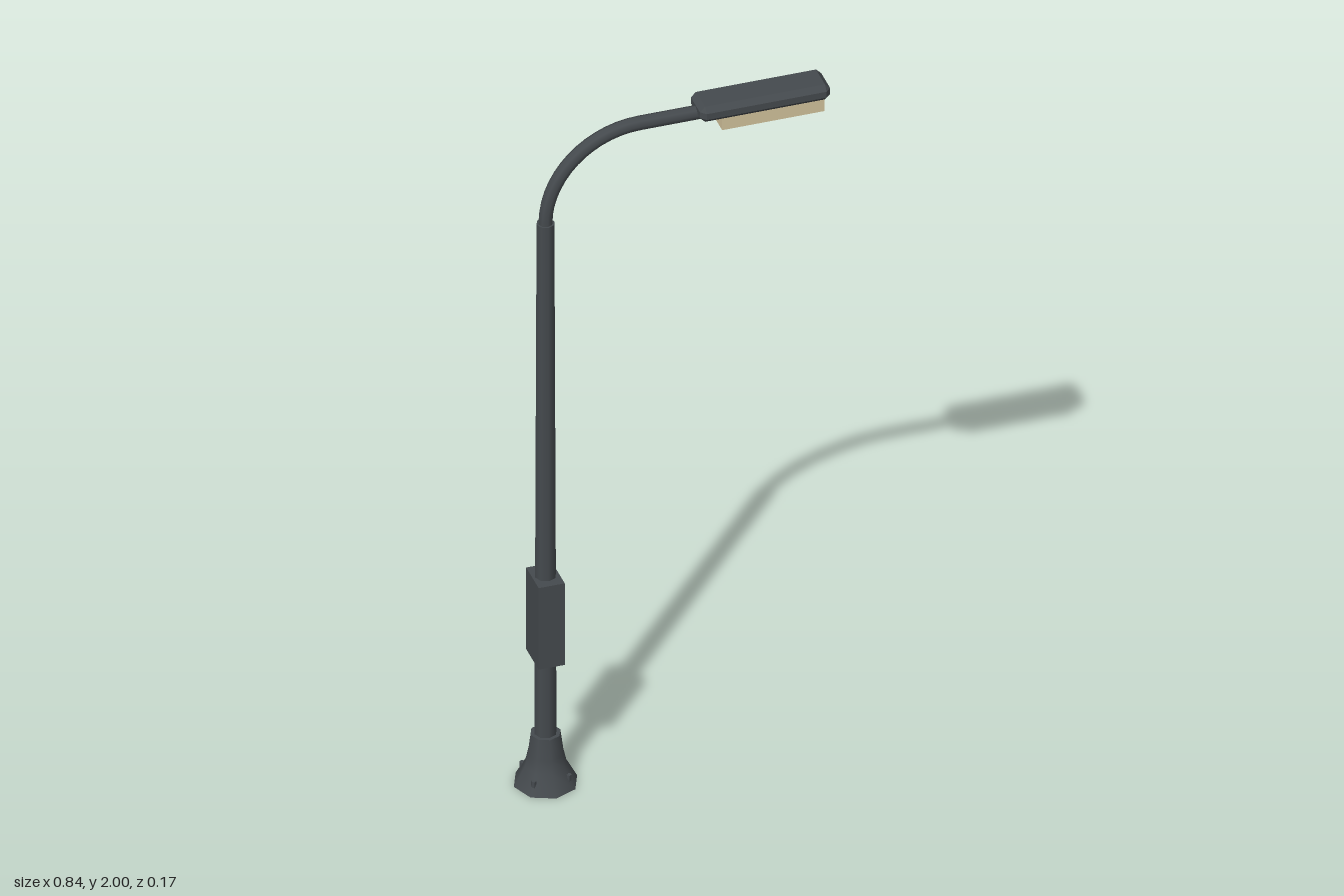
import * as THREE from 'three';
import { ConvexGeometry } from 'three/addons/geometries/ConvexGeometry.js';

const POLE_X = -0.335;
const SIDES = 8;

// Box with every edge cut at 45 degrees
function chamferedBox(w, h, d, c) {
  const points = [];
  const half = [w / 2, h / 2, d / 2];
  for (const sx of [-1, 1]) for (const sy of [-1, 1]) for (const sz of [-1, 1]) {
    for (let full = 0; full < 3; full++) {
      const p = half.map((v, i) => (i === full ? v : v - c));
      points.push(new THREE.Vector3(p[0] * sx, p[1] * sy, p[2] * sz));
    }
  }
  return new ConvexGeometry(points);
}

export function createModel() {
  const group = new THREE.Group();
  const metal = new THREE.MeshStandardMaterial({ color: 0x454a4e });
  const metalFlat = new THREE.MeshStandardMaterial({ color: 0x454a4e, flatShading: true });
  const glass = new THREE.MeshStandardMaterial({ color: 0xd3c39c });

  function add(name, geometry, material, x, y, z = 0) {
    const mesh = new THREE.Mesh(geometry, material);
    mesh.name = name;
    mesh.position.set(x, y, z);
    group.add(mesh);
    return mesh;
  }

  // Flared foot, closed below and on top
  const profile = [[0.085, 0], [0.056, 0.055], [0.048, 0.09], [0.04, 0.15]]
    .map(([r, y]) => new THREE.Vector2(r, y));
  add('baseFlare', new THREE.LatheGeometry(profile, SIDES), metal, POLE_X, 0);
  add('baseBottom', new THREE.CircleGeometry(0.085, SIDES).rotateX(Math.PI / 2), metal, POLE_X, 0);
  add('baseTop', new THREE.CircleGeometry(0.04, SIDES).rotateX(-Math.PI / 2), metal, POLE_X, 0.15);

  // Four anchor bolts on the flare
  for (const sx of [-1, 1]) for (const sz of [-1, 1]) {
    add('anchorBolt', new THREE.CylinderGeometry(0.007, 0.007, 0.02, 6), metalFlat,
      POLE_X + sx * 0.047, 0.03, sz * 0.047);
  }

  // Tapered pole and equipment box
  add('pole', new THREE.CylinderGeometry(0.024, 0.03, 1.66, SIDES), metal, POLE_X, 0.88);
  add('controlBox', new THREE.BoxGeometry(0.07, 0.25, 0.1), metal, POLE_X, 0.505);

  // Quarter-circle arm followed by a straight run into the lamp head
  const bend = new THREE.CurvePath();
  const k = 0.5523;
  const r = 0.253;
  const curve = new THREE.CubicBezierCurve3(
    new THREE.Vector3(0, 0, 0), new THREE.Vector3(0, r * k, 0),
    new THREE.Vector3(r * (1 - k), r, 0), new THREE.Vector3(r, r, 0));
  add('armBend', new THREE.TubeGeometry(curve, 14, 0.019, SIDES), metal, POLE_X, 1.71);
  const armStart = POLE_X + r;
  const armEnd = 0.13;
  add('armStraight', new THREE.CylinderGeometry(0.019, 0.019, armEnd - armStart, SIDES).rotateZ(Math.PI / 2),
    metal, (armStart + armEnd) / 2, 1.71 + r);

  // Lamp head with its lens hanging below
  add('lampHead', chamferedBox(0.35, 0.046, 0.1, 0.014), metalFlat, 0.243, 1.977);
  add('lampLens', new THREE.BoxGeometry(0.275, 0.05, 0.068), glass, 0.266, 1.942);

  return group;
}
